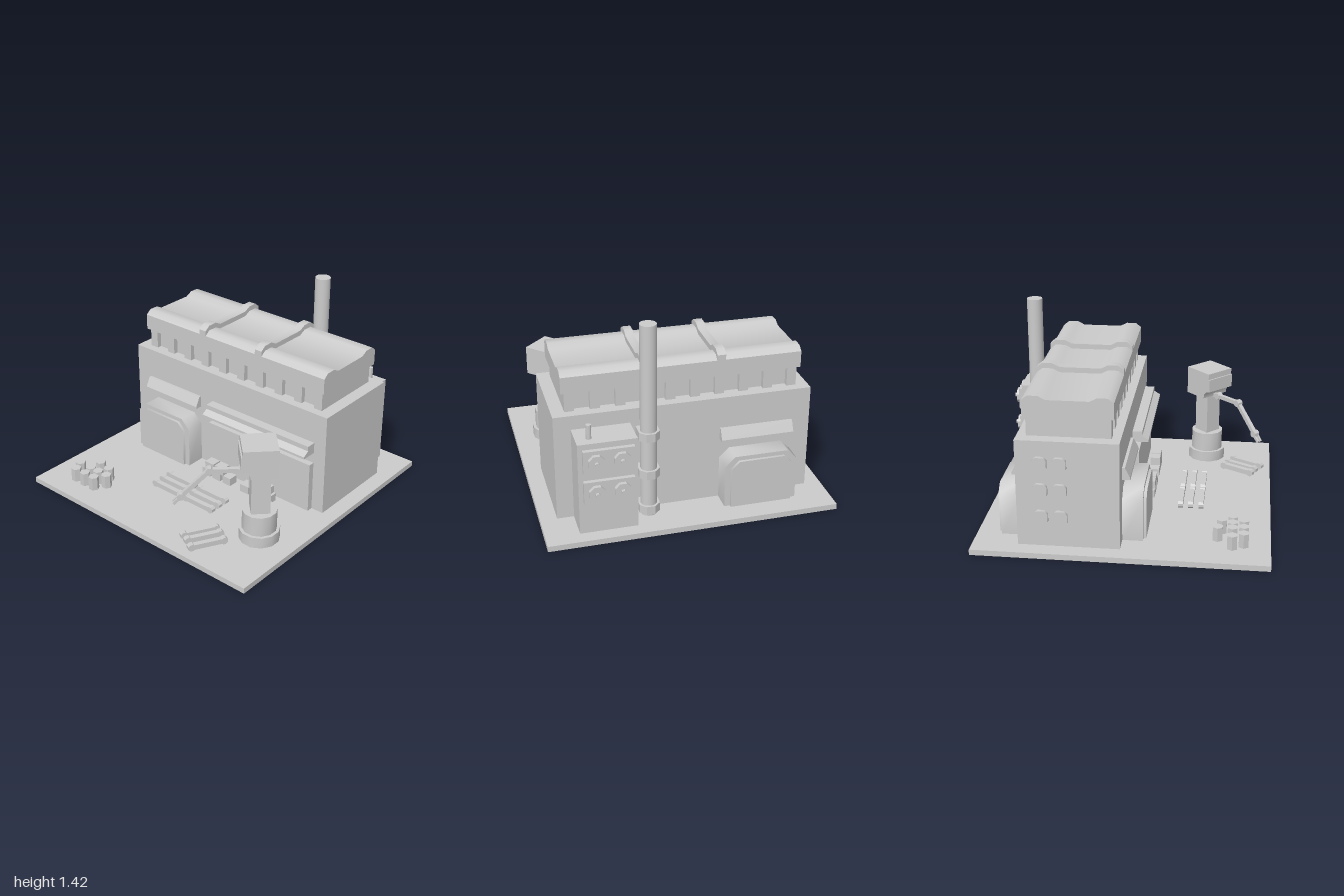
import * as THREE from 'three';
import { toCreasedNormals } from 'three/addons/utils/BufferGeometryUtils.js';

const mat = new THREE.MeshStandardMaterial({ color: 0xcccccc });
const flat = new THREE.MeshStandardMaterial({ color: 0xcccccc, flatShading: true });
const shell = new THREE.MeshStandardMaterial({ color: 0xcccccc, flatShading: true, side: THREE.DoubleSide });

function add(parent, name, geo, material = flat) {
  const m = new THREE.Mesh(geo, material);
  m.name = name;
  parent.add(m);
  return m;
}
// mesh with soft edges below the crease angle
function addSmooth(parent, name, geo, crease = 0.8) {
  return add(parent, name, toCreasedNormals(geo, crease), mat);
}
function group(parent, name) {
  const g = new THREE.Group();
  g.name = name;
  parent.add(g);
  return g;
}
// box from its limits on each axis
function box(parent, name, x0, x1, y0, y1, z0, z1) {
  const m = add(parent, name, new THREE.BoxGeometry(x1 - x0, y1 - y0, z1 - z0));
  m.position.set((x0 + x1) / 2, (y0 + y1) / 2, (z0 + z1) / 2);
}
function extrude(points, depth) {
  const shape = new THREE.Shape(points.map(([x, y]) => new THREE.Vector2(x, y)));
  return new THREE.ExtrudeGeometry(shape, { depth, bevelEnabled: false });
}
// [z, y] profile swept from x0 to x1
function sweepX(points, x0, x1) {
  const g = extrude(points.map(([z, y]) => [-z, y]), x1 - x0);
  return g.rotateY(Math.PI / 2).translate(x0, 0, 0);
}
// rectangle with cut corners; the lower corners are cut only when asked
function cutRect(w, y0, y1, c, lower) {
  const h = w / 2, b = lower ? c : 0;
  const p = [[h, y0 + b], [h, y1 - c], [h - c, y1], [c - h, y1], [-h, y1 - c], [-h, y0 + b]];
  return lower ? [...p, [b - h, y0], [h - b, y0]] : p;
}
// square bar between two points
function bar(parent, name, a, b, w, d) {
  const A = new THREE.Vector3(...a), B = new THREE.Vector3(...b);
  const m = add(parent, name, new THREE.BoxGeometry(w, A.distanceTo(B), d));
  m.position.copy(A).lerp(B, 0.5);
  m.quaternion.setFromUnitVectors(new THREE.Vector3(0, 1, 0), B.sub(A).normalize());
}
// cylinder along z
function disc(parent, name, r, z0, z1, sides, x, y) {
  const geo = new THREE.CylinderGeometry(r, r, z1 - z0, sides).rotateY(Math.PI / sides).rotateX(Math.PI / 2);
  add(parent, name, geo).position.set(x, y, (z0 + z1) / 2);
}

// hollow tray, open underneath
function ground(parent) {
  const geo = new THREE.BoxGeometry(2, 0.04, 2);
  const bottomStart = 18;
  geo.setIndex([...geo.index.array].filter((_, i) => i < bottomStart || i >= bottomStart + 6));
  add(parent, 'groundSlab', geo, shell).position.y = 0.02;
}

function loadingDoor(parent, z, turn) {
  const g = group(parent, 'loadingDoor');
  addSmooth(g, 'doorFrame', extrude(cutRect(0.51, 0.04, 0.415, 0.07), 0.14));
  addSmooth(g, 'doorPanel', extrude(cutRect(0.43, 0.04, 0.385, 0.055), 0.16));
  add(g, 'doorAwning', sweepX([[0, 0.49], [0.055, 0.49], [0.055, 0.505], [0.02, 0.575], [0, 0.575]], -0.255, 0.255));
  g.position.set(-0.5, 0, z);
  g.rotation.y = turn;
}

// bar with a round lug at each end
function rod(parent, x, z, turn) {
  const g = group(parent, 'rod');
  box(g, 'rodBar', -0.115, 0.115, 0.053, 0.09, -0.0175, 0.0175);
  for (const s of [-1, 1]) disc(g, 'rodEnd', 0.027, -0.018, 0.018, 8, s * 0.115, 0.071);
  g.position.set(x, 0, z);
  g.rotation.y = turn;
}

function roof(parent) {
  const g = group(parent, 'roof');
  box(g, 'clerestoryWall', -0.8, 0.795, 0.8, 0.94, -0.59, -0.095);
  for (let i = 0; i < 10; i++) {
    const x = -0.767 + i * 0.17;
    box(g, 'clerestoryPost', x - 0.033, x + 0.033, 0.8, 0.94, -0.625, -0.06);
  }
  // flat trough between two raised ridges, and the same line lifted for the straps
  const section = (bottom, lift) => {
    const half = [[-0.04, 1.055], [-0.08, 1.086], [-0.15, 1.086], [-0.2, 1.06]].map(([z, y]) => [z, y + lift]);
    const back = half.map(([z, y]) => [-0.685 - z, y]).reverse();
    return [[-0.04, bottom], ...half, ...back, [-0.645, bottom]];
  };
  addSmooth(g, 'roofSlab', sweepX(section(0.94, 0), -0.82, 0.82));
  for (const x of [-0.26, 0.255]) addSmooth(g, 'roofStrap', sweepX(section(1.05, 0.037), x - 0.03, x + 0.03));
}

function chimney(parent) {
  const g = group(parent, 'chimney');
  addSmooth(g, 'chimneyPipe', new THREE.CylinderGeometry(0.056, 0.056, 1.38, 24)).position.y = 0.73;
  // clamps reach back to the wall with square ends
  for (const y of [0.06, 0.33, 0.61]) {
    const clamp = extrude(cutRect(0.14, -0.075, 0.07, 0.04), 0.06).rotateX(-Math.PI / 2);
    add(g, 'pipeClamp', clamp).position.y = y;
  }
  g.position.set(0.269, 0, -0.76);
}

function annex(parent) {
  const g = group(parent, 'annex');
  box(g, 'annexBody', 0.375, 0.77, 0.04, 0.7, -0.905, -0.68);
  const vent = addSmooth(g, 'ventPipe', new THREE.CylinderGeometry(0.018, 0.018, 0.1, 12));
  vent.position.set(0.68, 0.75, -0.83);
  for (const y of [0.355, 0.58]) {
    box(g, 'fanPanel', 0.4, 0.74, y - 0.08, y + 0.08, -0.935, -0.9);
    for (const x of [0.485, 0.655]) {
      disc(g, 'fanHousing', 0.058, -0.962, -0.93, 8, x, y);
      disc(g, 'fanHub', 0.016, -0.982, -0.96, 8, x, y);
    }
  }
}

function robotArm(parent) {
  const g = group(parent, 'robotArm');
  addSmooth(g, 'armBase', new THREE.CylinderGeometry(0.142, 0.142, 0.08, 12)).position.y = 0.08;
  addSmooth(g, 'armPedestal', new THREE.CylinderGeometry(0.12, 0.12, 0.145, 12)).position.y = 0.1925;
  box(g, 'armColumn', -0.065, 0.065, 0.26, 0.58, -0.065, 0.065);
  // hood curves out to an overhanging front, with a stepped top
  const head = [[-0.11, 0.57], [0.075, 0.57], [0.08, 0.6], [0.1, 0.625], [0.138, 0.637], [0.138, 0.735],
    [0.128, 0.735], [0.128, 0.78], [-0.11, 0.78]];
  addSmooth(g, 'armHead', extrude(head, 0.235).translate(0, 0, -0.1175));
  // jointed arm reaching forward along local x
  const shoulder = [0.06, 0.575, 0], elbow = [0.335, 0.583, 0], wrist = [0.525, 0.395, 0];
  bar(g, 'upperArm', shoulder, elbow, 0.03, 0.03);
  bar(g, 'foreArm', elbow, wrist, 0.03, 0.03);
  for (const [x, y] of [[0.12, 0.577], elbow, wrist]) disc(g, 'armJoint', 0.027, -0.022, 0.022, 8, x, y);
  for (const s of [-1, 1]) bar(g, 'gripperFinger', [0.53, 0.39, s * 0.014], [0.575, 0.345, s * 0.014], 0.02, 0.014);
  g.position.set(0.72, 0, 0.5);
  g.rotation.y = -0.75 * Math.PI;
}

export function createModel() {
  const model = new THREE.Group();
  model.name = 'factory';

  ground(model);
  box(model, 'mainHall', -0.885, 0.885, 0.04, 0.8, -0.69, 0);
  roof(model);
  chimney(model);
  annex(model);
  loadingDoor(model, 0, 0);
  loadingDoor(model, -0.69, Math.PI);

  // wide front gate and its canopy
  box(model, 'wideGate', -0.13, 0.79, 0.04, 0.415, 0, 0.045);
  const canopy = [[0, 0.495], [0.115, 0.495], [0.115, 0.512], [0.07, 0.54], [0.07, 0.575], [0, 0.575]];
  add(model, 'wideCanopy', sweepX(canopy, -0.13, 0.79));

  // windows on the right-hand wall
  for (const y of [0.255, 0.45, 0.64]) for (const z of [-0.525, -0.395]) {
    const w = addSmooth(model, 'sideWindow', extrude(cutRect(0.095, -0.05, 0.05, 0.022, true), 0.026));
    w.rotation.y = -Math.PI / 2;
    w.position.set(-0.884, y, z);
  }

  // stacked crates beside the gate
  for (const x of [-0.1, 0.265]) {
    for (let i = 0; i < 3; i++) box(model, 'crate', x + i * 0.098, x + i * 0.098 + 0.075, 0.04, 0.1, 0.085, 0.158);
    for (let i = 0; i < 2; i++) {
      const a = x + 0.03 + (x > 0 ? 0.05 : 0) + i * 0.093;
      box(model, 'crate', a, a + 0.08, 0.1, 0.158, 0.085, 0.158);
    }
  }

  // barrels
  const spots = [[-0.675, 0.64], [-0.567, 0.665], [-0.786, 0.74], [-0.675, 0.74], [-0.6, 0.74], [-0.515, 0.74],
    [-0.75, 0.817], [-0.658, 0.817], [-0.567, 0.817]];
  for (const [x, z] of spots) {
    const geo = new THREE.CylinderGeometry(0.038, 0.038, 0.1, 6).rotateY(Math.PI / 6);
    add(model, 'barrel', geo).position.set(x, 0.09, z);
  }

  // rods laid out in rows and under the arm
  for (const x of [-0.12, 0.175]) for (const z of [0.358, 0.43, 0.505]) rod(model, x, z, 0);
  for (const [x, z] of [[0.405, 0.75], [0.465, 0.778], [0.535, 0.82]]) rod(model, x, z, 1.06);

  robotArm(model);
  return model;
}
